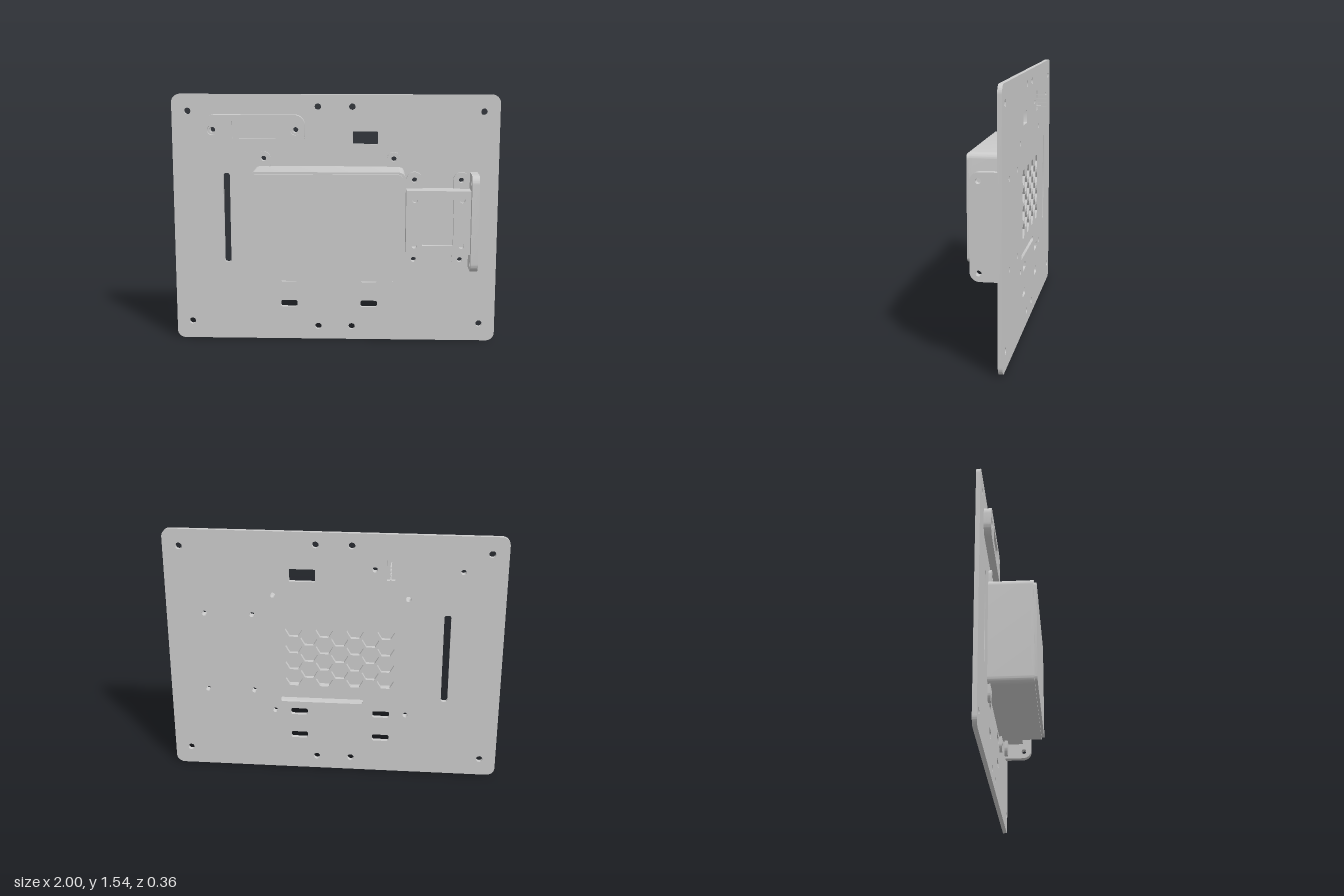
import * as THREE from 'three';
import { toCreasedNormals } from 'three/addons/utils/BufferGeometryUtils.js';

const material = new THREE.MeshStandardMaterial({ color: 0xcccccc });
const PLATE_BACK = -0.122, PLATE_FRONT = -0.097;

// Rounded rectangle from its edges
function rounded(x0, x1, y0, y1, r, Type = THREE.Shape) {
  const s = new Type();
  s.absarc(x1 - r, y0 + r, r, -Math.PI / 2, 0, false);
  s.absarc(x1 - r, y1 - r, r, 0, Math.PI / 2, false);
  s.absarc(x0 + r, y1 - r, r, Math.PI / 2, Math.PI, false);
  s.absarc(x0 + r, y0 + r, r, Math.PI, Math.PI * 1.5, false);
  s.closePath();
  return s;
}
const slot = (x0, x1, y0, y1, r = 0.012) => rounded(x0, x1, y0, y1, r, THREE.Path);

function circle(x, y, r) {
  return new THREE.Path().absarc(x, y, r, 0, Math.PI * 2, false);
}

function hexagon(x, y, r) {
  const points = [];
  for (let i = 0; i < 6; i++) {
    const a = i * Math.PI / 3;
    points.push(new THREE.Vector2(x + r * Math.cos(a), y + r * Math.sin(a)));
  }
  return new THREE.Path(points);
}

// Extrude a shape from z0 to z1, with smooth arcs and sharp edges
function slab(name, shape, z0, z1, holes = []) {
  shape.holes.push(...holes);
  const g = new THREE.ExtrudeGeometry(shape, { depth: z1 - z0, bevelEnabled: false, curveSegments: 10 });
  g.translate(0, 0, z0);
  const mesh = new THREE.Mesh(toCreasedNormals(g, 0.6), material);
  mesh.name = name;
  return mesh;
}

// Screw tab with a round outer end; dir is +1 for up, -1 for down
function tab(name, x, y, r, root, dir, z1) {
  const s = new THREE.Shape();
  s.moveTo(x - r * dir, root);
  s.lineTo(x + r * dir, root);
  s.absarc(x, y, r, dir > 0 ? 0 : Math.PI, dir > 0 ? Math.PI : Math.PI * 2, false);
  s.closePath();
  return slab(name, s, PLATE_FRONT, z1, [circle(x, y, 0.016)]);
}

export function createModel() {
  const model = new THREE.Group();
  model.name = 'mountingPanel';
  const group = (name) => {
    const g = new THREE.Group();
    g.name = name;
    model.add(g);
    return g;
  };

  const boxTabs = [], bracketTabs = [];
  for (const x of [-0.437, 0.36]) boxTabs.push([x, 1.15, 1], [x, 0.395, -1]);
  for (const x of [0.487, 0.773]) bracketTabs.push([x, 1.022, 1], [x, 0.525, -1]);
  const caseScrews = [[-0.748, 1.325], [-0.24, 1.325]];

  // Back plate with screw holes, cable slots and a honeycomb vent
  const holes = [];
  for (const x of [-0.903, 0.903]) for (const y of [0.11, 1.437]) holes.push(circle(x, y, 0.02));
  for (const x of [-0.105, 0.105]) for (const y of [0.083, 1.465]) holes.push(circle(x, y, 0.02));
  for (const [x, y] of [...boxTabs, ...bracketTabs, ...caseScrews]) holes.push(circle(x, y, 0.016));
  for (const x of [-0.34, 0.16]) for (const y of [0.209, 0.37]) holes.push(slot(x, x + 0.104, y, y + 0.042));
  holes.push(
    slot(0.108, 0.262, 1.238, 1.315, 0.006),
    slot(-0.689, -0.649, 0.495, 1.056, 0.015),
    slot(-0.18, 0.325, 0.457, 0.487),
    slot(-0.358, -0.308, 1.26, 1.385, 0.002),
  );
  for (let c = -3; c <= 3; c++) {
    const n = c % 2 ? 4 : 3;
    for (let i = 0; i < n; i++) {
      holes.push(hexagon(-0.036 + c * 0.092, 0.773 + (i - (n - 1) / 2) * 0.107, 0.051));
    }
  }
  model.add(slab('backPlate', rounded(-1, 1, 0, 1.54, 0.05), PLATE_BACK, PLATE_FRONT, holes));

  // Hollow enclosure with a stepped lid
  const box = group('enclosure');
  box.add(
    slab('enclosureWalls', rounded(-0.5, 0.425, 0.443, 1.102, 0.04), PLATE_FRONT, 0.15,
      [slot(-0.48, 0.405, 0.457, 1.082, 0.025)]),
    slab('enclosureFront', rounded(-0.5, 0.425, 0.443, 1.102, 0.04), 0.15, 0.166),
    slab('enclosureLid', rounded(-0.488, 0.413, 0.455, 1.09, 0.032), 0.166, 0.182),
  );
  for (const [x, y, d] of boxTabs) {
    box.add(tab('enclosureTab', x, y, 0.042, d > 0 ? 1.09 : 0.45, d, -0.08));
  }

  // Side bracket: open frame, windowed face, tabs and upright flange
  const bracket = group('sideBracket');
  const faceHoles = [slot(0.533, 0.722, 0.633, 0.917, 0.002)];
  for (const x of [0.487, 0.773]) for (const y of [0.632, 0.914]) faceHoles.push(circle(x, y, 0.017));
  bracket.add(
    slab('bracketWalls', rounded(0.435, 0.826, 0.577, 0.97, 0.003), PLATE_FRONT, -0.008,
      [slot(0.46, 0.8, 0.602, 0.945, 0.003)]),
    slab('bracketFace', rounded(0.435, 0.826, 0.577, 0.97, 0.003), -0.008, 0.022, faceHoles),
  );
  for (const [x, y, d] of bracketTabs) {
    bracket.add(tab('bracketTab', x, y, 0.049, d > 0 ? 0.965 : 0.582, d, -0.076));
  }
  // Flange profile is drawn with its x as -z, then turned to face sideways
  const profile = new THREE.Shape();
  profile.moveTo(0.097, 0.477);
  profile.lineTo(0.097, 1.07);
  profile.absarc(-0.022, 1.015, 0.055, Math.PI / 2, Math.PI, false);
  profile.absarc(-0.022, 0.532, 0.055, Math.PI, Math.PI * 1.5, false);
  profile.closePath();
  const flange = slab('bracketFlange', profile, 0.825, 0.87,
    [circle(-0.028, 1.023, 0.016), circle(-0.028, 0.524, 0.016)]);
  flange.rotation.y = Math.PI / 2;
  bracket.add(flange);

  // Display case with counterbored screws, a recessed screen and header pins
  const display = group('displayCase');
  const layer = (name, z0, z1, r) => slab(name, rounded(-0.802, -0.182, 1.235, 1.418, 0.065), z0, z1,
    [slot(-0.625, -0.36, 1.273, 1.38, 0.002), ...caseScrews.map(([x, y]) => circle(x, y, r))]);
  display.add(
    layer('displayCaseBase', PLATE_FRONT, -0.075, 0.018),
    layer('displayCaseFront', -0.075, -0.055, 0.03),
    slab('displayScreen', rounded(-0.625, -0.36, 1.273, 1.38, 0.002), PLATE_FRONT, -0.067),
  );
  for (let i = 0; i < 4; i++) {
    const pin = new THREE.Mesh(new THREE.BoxGeometry(0.007, 0.007, 0.092), material);
    pin.name = 'headerPin';
    pin.position.set(-0.333, 1.286 + i * 0.0245, -0.136);
    display.add(pin);
  }
  return model;
}
